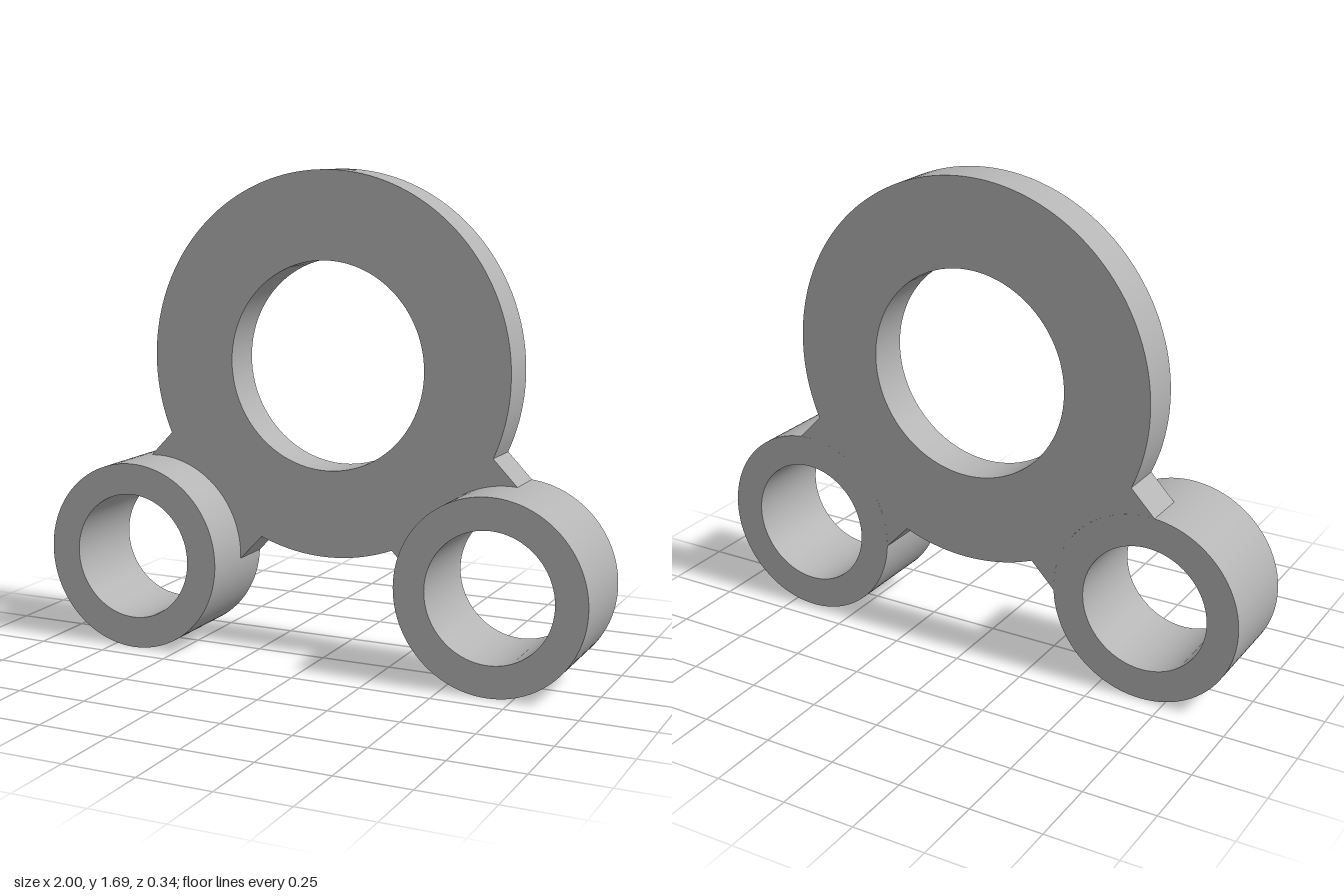
import * as THREE from 'three';
import { toCreasedNormals } from 'three/addons/utils/BufferGeometryUtils.js';

const RING = { y: 1.025, r: 0.667, hole: 0.362 };
const BOSS = { x: 0.667, y: 0.333, r: 0.333, hole: 0.223 };
const BACK = -0.17, PLATE_DEPTH = 0.15, BOSS_DEPTH = 0.34;
const WEB_HALF_WIDTH = 0.25;

// Extrude a shape forward from the common back plane, smooth on round walls
function slab(name, shape, depth, material) {
  const geo = new THREE.ExtrudeGeometry(shape, { depth, bevelEnabled: false, curveSegments: 48 });
  const mesh = new THREE.Mesh(toCreasedNormals(geo, Math.PI / 6), material);
  mesh.name = name;
  mesh.position.z = BACK;
  return mesh;
}

function addHole(shape, x, y, r) {
  shape.holes.push(new THREE.Path().absarc(x, y, r, 0, Math.PI * 2, true));
}

// Big ring and both webs in one outline, ending against the bosses
function plateShape() {
  const dir = Math.atan2(BOSS.y - RING.y, BOSS.x);
  const h = Math.asin(WEB_HALF_WIDTH / RING.r);
  const k = Math.asin(WEB_HALF_WIDTH / BOSS.r);
  const low = dir + Math.PI + k, high = dir + Math.PI - k;
  const s = new THREE.Shape();
  s.absarc(0, RING.y, RING.r, dir + h, Math.PI - dir - h, false);
  s.absarc(-BOSS.x, BOSS.y, BOSS.r, Math.PI - high, Math.PI - low, true);
  s.absarc(0, RING.y, RING.r, Math.PI - dir + h, Math.PI * 2 + dir - h, false);
  s.absarc(BOSS.x, BOSS.y, BOSS.r, low, high, true);
  s.closePath();
  addHole(s, 0, RING.y, RING.hole);
  return s;
}

export function createModel() {
  const group = new THREE.Group();
  group.name = 'bracket';
  const metal = new THREE.MeshStandardMaterial({ color: 0xb4b4b4 });
  metal.name = 'grey metal';

  group.add(slab('ringPlate', plateShape(), PLATE_DEPTH, metal));

  // Thicker tubular bosses, flush with the plate at the back
  for (const [name, side] of [['leftBoss', 1], ['rightBoss', -1]]) {
    const s = new THREE.Shape();
    s.absarc(side * BOSS.x, BOSS.y, BOSS.r, 0, Math.PI * 2, false);
    addHole(s, side * BOSS.x, BOSS.y, BOSS.hole);
    group.add(slab(name, s, BOSS_DEPTH, metal));
  }
  return group;
}
